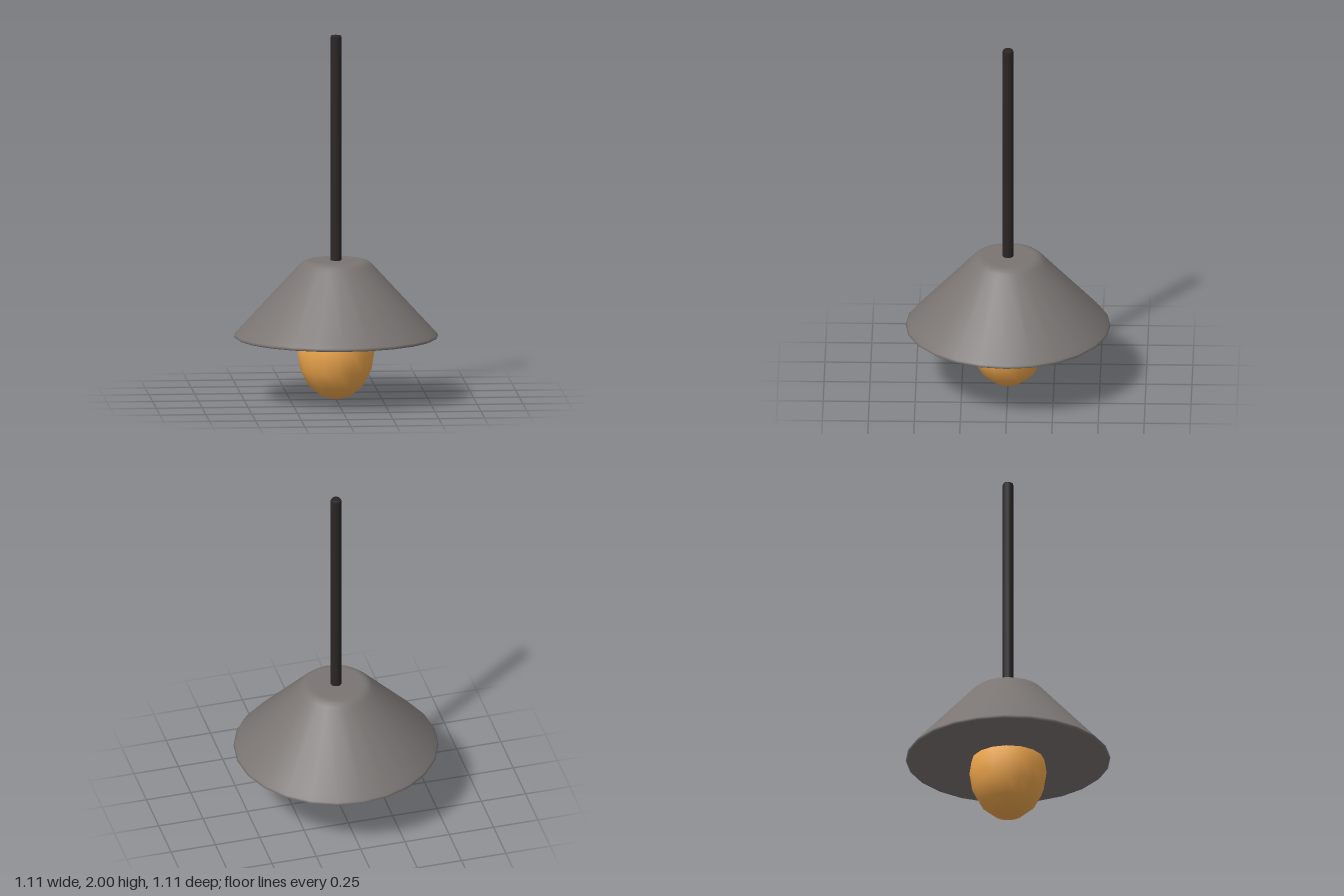
import * as THREE from 'three';

// Smooth surface of revolution from [radius, y] pairs, listed bottom to top
function turned(name, profile, sides, color) {
  const points = profile.map(([r, y]) => new THREE.Vector2(r, y));
  const mesh = new THREE.Mesh(
    new THREE.LatheGeometry(points, sides),
    new THREE.MeshStandardMaterial({ color })
  );
  mesh.name = name;
  return mesh;
}

export function createModel() {
  const lamp = new THREE.Group();
  lamp.name = 'pendantLamp';

  // Conical shade: flat closed underside, softened rim and crown
  lamp.add(turned('shade', [
    [0, 0.34], [0.53, 0.34], [0.548, 0.342], [0.557, 0.349], [0.55, 0.359],
    [0.53, 0.381], [0.216, 0.722], [0.196, 0.743], [0.18, 0.757], [0.16, 0.764],
    [0.14, 0.765], [0, 0.765],
  ], 24, 0x7a7573));

  // Hanging rod with a slightly bevelled top
  lamp.add(turned('rod', [
    [0, 0.74], [0.03, 0.74], [0.03, 0.75], [0.03, 1.99], [0.026, 2], [0, 2],
  ], 12, 0x2a2625));

  // Egg-shaped bulb, its upper part set into the shade
  const bulb = new THREE.Mesh(
    new THREE.SphereGeometry(1, 16, 8),
    new THREE.MeshStandardMaterial({ color: 0xf2a94e })
  );
  bulb.name = 'bulb';
  bulb.scale.set(0.21, 0.265, 0.21);
  bulb.position.y = 0.265;
  lamp.add(bulb);

  return lamp;
}
